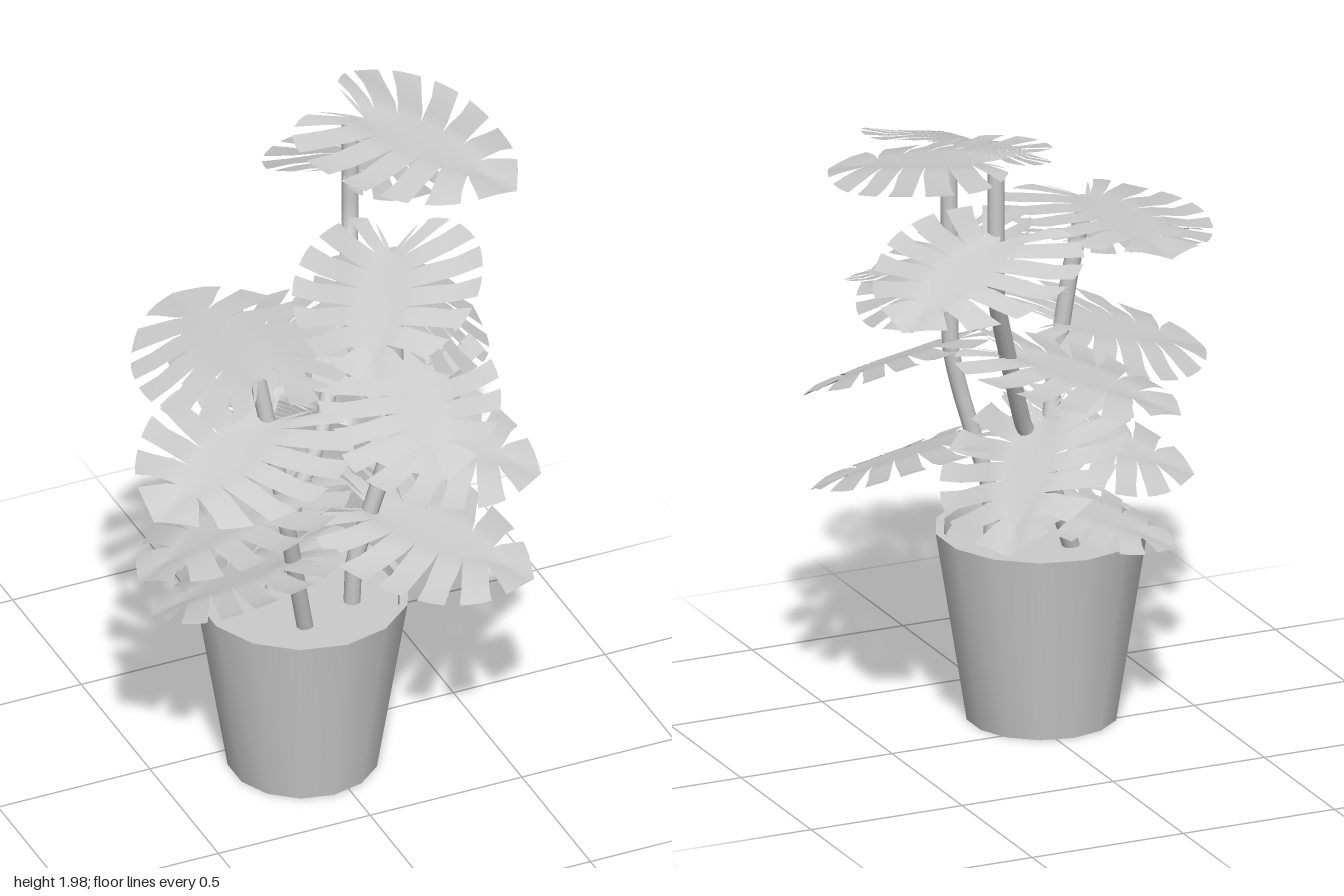
import * as THREE from 'three';
import { mergeVertices, toCreasedNormals } from 'three/addons/utils/BufferGeometryUtils.js';

const V = (p) => new THREE.Vector3(...p);
const material = new THREE.MeshStandardMaterial({ color: 0xcccccc, side: THREE.DoubleSide });

function addMesh(parent, geometry, name) {
  const mesh = new THREE.Mesh(geometry, material);
  mesh.name = name;
  parent.add(mesh);
  return mesh;
}

// Half outline of a split leaf (x = sideways, y = along the midrib), notch to tip
const outline = new THREE.SplineCurve([
  [0.015, -0.03], [0.08, -0.125], [0.17, -0.135], [0.25, -0.06], [0.285, 0.06],
  [0.28, 0.18], [0.235, 0.3], [0.14, 0.42], [0, 0.5],
].map(([x, y]) => new THREE.Vector2(x, y)));

// Leaf blade: an unbroken centre with fingers parted by tapering slits
function leafGeometry() {
  const fingers = 8, rays = 3;
  const levels = [0, 0.25, 0.45, 0.75, 1];
  const gaps = [0, 0, 0.05, 0.15, 0.17];
  const positions = [], index = [];
  for (const side of [1, -1]) {
    for (let f = 0; f < fingers; f++) {
      const start = positions.length / 3;
      levels.forEach((t, row) => {
        for (let r = 0; r <= rays; r++) {
          const first = f === 0 ? 0 : gaps[row];
          const last = f === fingers - 1 ? 1 : 1 - gaps[row];
          const s = (f + first + (last - first) * r / rays) / fingers;
          const edge = outline.getPoint(s);
          const rib = 0.41 * Math.max(0, (s - 0.18) / 0.82);
          const x = edge.x * t;
          // fingers sweep forward on their way out
          const z = rib + (edge.y - rib) * Math.pow(t, 1.4);
          const y = 0.01 * Math.sin(x * 20) - 0.06 * x * x - 0.12 * z * (z - 0.5);
          positions.push(side * x, y, z);
        }
      });
      for (let row = 0; row < levels.length - 1; row++) {
        for (let r = 0; r < rays; r++) {
          const a = start + row * (rays + 1) + r, b = a + 1;
          const c = a + rays + 1, d = c + 1;
          if (side > 0) index.push(a, b, c, b, d, c);
          else index.push(a, c, b, b, c, d);
        }
      }
    }
  }
  const geometry = new THREE.BufferGeometry();
  geometry.setAttribute('position', new THREE.Float32BufferAttribute(positions, 3));
  geometry.setIndex(index);
  const merged = mergeVertices(geometry, 1e-4);
  merged.computeVertexNormals();
  return merged;
}

// Place a leaf from its stem joint to its tip, rolled about its midrib
function addLeaf(parent, geometry, base, tip, roll) {
  const origin = V(base);
  const along = V(tip).sub(origin);
  const length = along.length();
  along.normalize();
  const across = new THREE.Vector3(0, 1, 0).cross(along).normalize();
  across.applyAxisAngle(along, roll);
  const normal = along.clone().cross(across);
  const leaf = addMesh(parent, geometry, 'leaf');
  leaf.quaternion.setFromRotationMatrix(new THREE.Matrix4().makeBasis(across, normal, along));
  leaf.position.copy(origin);
  leaf.scale.setScalar(length / 0.5);
}

function addStem(parent, points) {
  const radius = 0.026;
  const curve = new THREE.CatmullRomCurve3(points.map(V), false, 'catmullrom', 0.2);
  addMesh(parent, new THREE.TubeGeometry(curve, 32, radius, 10), 'stem');
  const cap = addMesh(parent, new THREE.CircleGeometry(radius, 10), 'stemTop');
  cap.position.copy(curve.getPoint(1));
  cap.quaternion.setFromUnitVectors(new THREE.Vector3(0, 0, 1), curve.getTangent(1));
}

export function createModel() {
  const group = new THREE.Group();
  group.name = 'pottedPlant';

  // Tapered pot with a thin rim, and the soil inside
  const pot = new THREE.Group();
  pot.name = 'pot';
  pot.position.set(-0.053, 0, 0.125);
  group.add(pot);
  const profile = [[0, 0], [0.23, 0], [0.325, 0.6], [0.3, 0.6], [0.293, 0.56]];
  const shell = new THREE.LatheGeometry(profile.map(([x, y]) => new THREE.Vector2(x, y)), 14);
  addMesh(pot, toCreasedNormals(shell, 0.8), 'potShell');
  const soil = addMesh(pot, new THREE.CircleGeometry(0.294, 14), 'soil');
  soil.rotation.set(-Math.PI / 2, 0, 0);
  soil.position.y = 0.565;

  // Three bent stems
  const stems = [
    [[-0.1, 0.55, 0.25], [-0.16, 0.8, 0.31], [-0.21, 1.02, 0.36], [-0.25, 1.3, 0.35], [-0.29, 1.55, 0.32]],
    [[0.08, 0.55, 0.19], [0.085, 0.72, 0.2], [0.17, 1.03, 0.22], [0.205, 1.2, 0.22], [0.21, 1.81, 0.22]],
    [[-0.11, 0.55, 0.03], [0, 0.84, -0.03], [0.1, 1.02, -0.07], [0.27, 1.47, -0.26], [0.3, 1.6, -0.31], [0.3, 1.93, -0.31]],
  ];
  stems.forEach((points) => addStem(group, points));

  // Leaves: joint, tip, roll
  const leaves = [
    // back stem
    [[0.33, 1.955, -0.28], [0.65, 1.85, 0.13], 0],
    [[0.31, 1.725, -0.36], [0.75, 1.585, -0.61], -0.1],
    [[0.16, 1.27, -0.15], [-0.23, 1.13, -0.49], -0.08],
    [[0.04, 1.01, -0.07], [0.32, 0.75, -0.45], 0.32],
    [[0.02, 0.76, 0.01], [-0.35, 0.59, -0.21], 0],
    // front stem
    [[0.19, 1.82, 0.24], [-0.07, 1.66, 0.64], 0.13],
    [[0.22, 1.53, 0.19], [0.52, 1.41, -0.19], 0.4],
    [[0.21, 1.42, 0.22], [0.18, 1.27, 0.68], 0.05],
    [[0.19, 1.2, 0.22], [0.6, 1.02, 0.42], 0.23],
    [[0.14, 0.89, 0.21], [0.55, 0.69, 0.48], 0.13],
    // side stem
    [[-0.29, 1.55, 0.32], [-0.32, 1.53, -0.23], -0.1],
    [[-0.26, 1.41, 0.36], [-0.74, 1.3, 0.56], -0.15],
    [[-0.22, 1.15, 0.35], [-0.72, 0.98, 0.4], 0.2],
    [[-0.15, 0.85, 0.28], [-0.58, 0.67, 0.17], 0.23],
  ];
  const blade = leafGeometry();
  leaves.forEach(([base, tip, roll]) => addLeaf(group, blade, base, tip, roll));

  return group;
}
